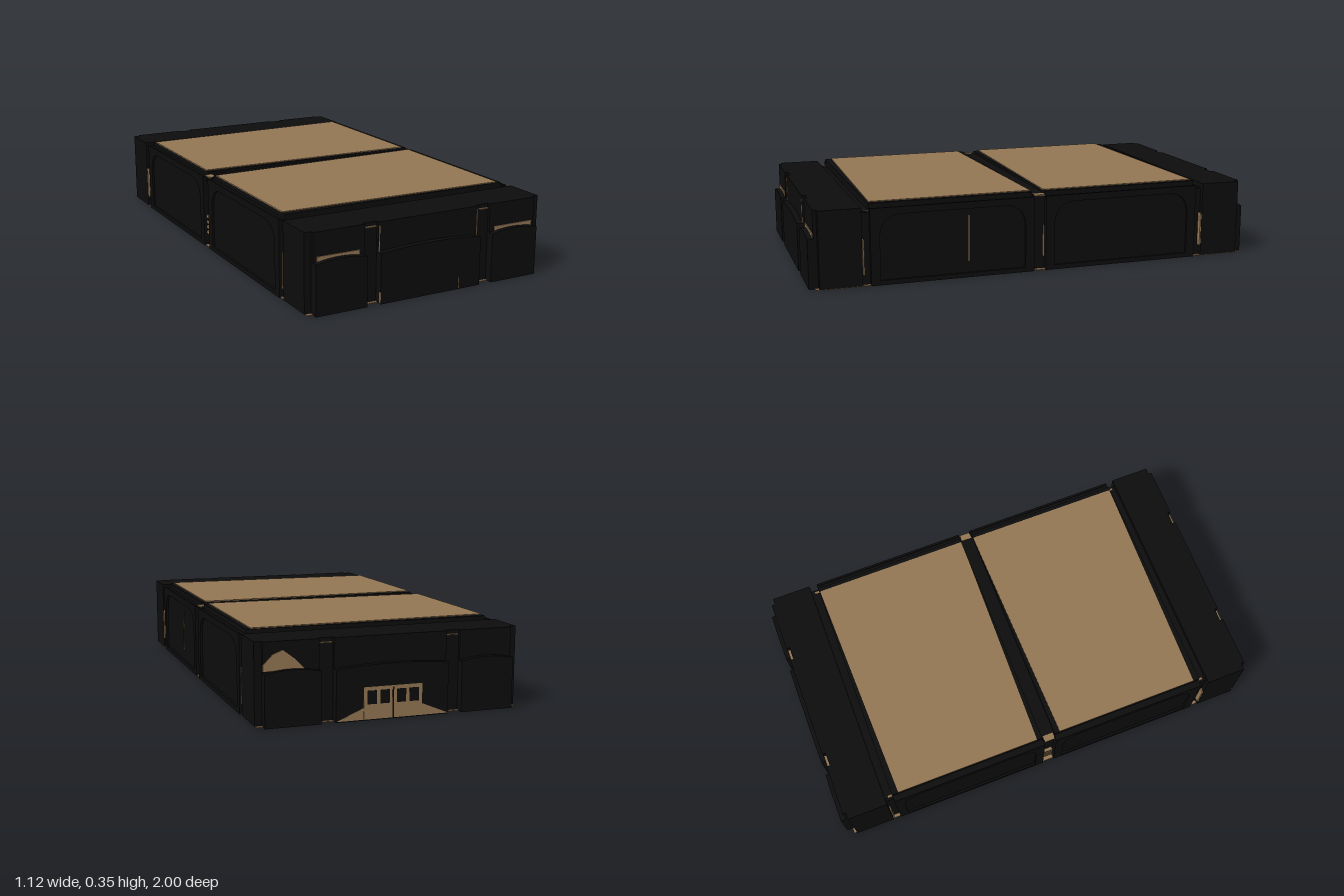
import * as THREE from 'three';

export function createModel() {
  const model = new THREE.Group();
  const black = new THREE.MeshStandardMaterial({ color: 0x0c0c0c });
  const tan = new THREE.MeshStandardMaterial({ color: 0x927654 });
  black.name = 'black wall';
  tan.name = 'tan trim';

  function add(name, geometry, material, parent = model) {
    const mesh = new THREE.Mesh(geometry, material);
    mesh.name = name;
    parent.add(mesh);
    return mesh;
  }
  // Box given by its minimum and maximum on each axis
  function box(name, x0, x1, y0, y1, z0, z1, material = black, parent = model) {
    const mesh = add(name, new THREE.BoxGeometry(x1 - x0, y1 - y0, z1 - z0), material, parent);
    mesh.position.set((x0 + x1) / 2, (y0 + y1) / 2, (z0 + z1) / 2);
    return mesh;
  }
  const polygon = pts => new THREE.Shape(pts.map(p => new THREE.Vector2(...p)));
  const extrude = (shape, depth) =>
    new THREE.ExtrudeGeometry(shape, { depth, bevelEnabled: false, curveSegments: 10 });

  // Core block and floor
  box('core', -0.53, 0.53, 0.004, 0.315, -0.96, 0.96);
  box('floor', -0.555, 0.555, 0, 0.004, -0.975, 0.975, tan);
  box('middleRidge', -0.54, 0.54, 0.3, 0.335, -0.03, 0.03);

  // Two raised roofs with tapering tan decks
  for (const s of [1, -1]) {
    box('roofSlab', -0.53, 0.53, 0.3, 0.346, s > 0 ? 0.03 : -0.745, s > 0 ? 0.745 : -0.03);
    const deck = polygon([[-0.53, -0.055 * s], [0.51, -0.03 * s], [0.51, -0.74 * s], [-0.53, -0.715 * s]]);
    const mesh = add('roofDeck', extrude(deck, 0.004), tan);
    mesh.rotation.x = -Math.PI / 2;
    mesh.position.y = 0.346;
  }

  // End blocks and their lower plinths
  function endFacade(name) {
    const end = new THREE.Group();
    end.name = name;
    box('endBlock', -0.56, 0.56, 0.004, 0.335, 0.78, 0.96, black, end);
    for (const [x0, x1] of [[-0.53, -0.30], [-0.24, 0.24], [0.30, 0.53]]) {
      box('upperWall', x0, x1, 0.004, 0.335, 0.95, 0.975, black, end);
      const plinth = new THREE.Shape();
      plinth.moveTo(x0, 0);
      plinth.lineTo(x1, 0);
      plinth.lineTo(x1, 0.212);
      plinth.quadraticCurveTo((x0 + x1) / 2, 0.238, x0, 0.212);
      const mesh = add('plinth', extrude(plinth, 0.025), black, end);
      mesh.position.z = 0.975;
    }
    for (const x of [-0.27, 0.27]) {
      box('recess', x - 0.03, x + 0.03, 0.004, 0.315, 0.95, 0.963, black, end);
      box('recessSill', x - 0.025, x + 0.025, 0.315, 0.319, 0.96, 0.972, tan, end);
    }
    model.add(end);
    return end;
  }
  const front = endFacade('frontFacade');
  const back = endFacade('backFacade');
  back.rotation.y = Math.PI;

  // Front lintels and narrow tan strips
  for (const s of [1, -1]) {
    box('lintel', s * 0.42 - 0.095, s * 0.42 + 0.095, 0.205, 0.236, 0.974, 0.979, tan, front);
    box('frontStrip', s * 0.235 - 0.002, s * 0.235 + 0.002, 0.21, 0.32, 0.974, 0.978, tan, front);
  }
  box('footStrip', -0.242, -0.239, 0.005, 0.05, 0.99, 1, tan, front);
  box('footStrip', 0.134, 0.136, 0.005, 0.05, 0.998, 1.001, tan, front);

  // Back gable and double door, in the turned frame of the back facade
  const gable = polygon([[-0.53, 0.22], [-0.36, 0.22], [-0.40, 0.262], [-0.45, 0.3], [-0.49, 0.285], [-0.53, 0.245]]);
  add('gable', extrude(gable, 0.004), tan, back).position.z = 0.975;
  const apron = polygon([[-0.24, 0.004], [0.24, 0.004], [0.13, 0.05], [-0.13, 0.05]]);
  add('doorApron', extrude(apron, 0.002), tan, back).position.z = 0.999;
  box('door', -0.125, 0.125, 0.004, 0.135, 0.998, 1.002, tan, back);
  for (const x of [-0.09, -0.035, 0.035, 0.09]) {
    box('doorPane', x - 0.02, x + 0.02, 0.065, 0.12, 1, 1.003, black, back);
  }
  box('doorGap', -0.003, 0.003, 0.004, 0.13, 1, 1.003, black, back);

  // Side walls: an arched frame on each bay, recesses between the bays
  for (const side of [1, -1]) {
    const wall = new THREE.Group();
    wall.name = side > 0 ? 'leftWall' : 'rightWall';
    const panel = (name, z0, z1, y0, y1, out, material = black) =>
      box(name, side > 0 ? 0.52 : -out, side > 0 ? out : -0.52, y0, y1, z0, z1, material, wall);
    for (const s of [1, -1]) {
      const [z0, z1] = s > 0 ? [0.027, 0.745] : [-0.745, -0.027];
      panel('bay', z0, z1, 0.004, 0.325, 0.55);
      const frame = polygon([[z0, 0], [z1, 0], [z1, 0.33], [z0, 0.33]]);
      const hole = new THREE.Path();
      hole.moveTo(z0 + 0.04, 0.02);
      hole.lineTo(z0 + 0.04, 0.2);
      hole.quadraticCurveTo(z0 + 0.04, 0.3, z0 + 0.14, 0.3);
      hole.lineTo(z1 - 0.14, 0.3);
      hole.quadraticCurveTo(z1 - 0.04, 0.3, z1 - 0.04, 0.2);
      hole.lineTo(z1 - 0.04, 0.02);
      frame.holes.push(hole);
      const mesh = add('archFrame', extrude(frame, 0.01), black, wall);
      mesh.rotation.y = -Math.PI / 2;
      mesh.position.x = side > 0 ? 0.56 : -0.55;
      // Corner recess beside the end block
      panel('cornerRecess', s * 0.7625 - 0.0175, s * 0.7625 + 0.0175, 0.004, 0.312, 0.54);
      panel('cornerSill', s * 0.755 - 0.01, s * 0.755 + 0.01, 0.312, 0.317, 0.53, tan);
      panel('cornerStrip', s * 0.775 - 0.003, s * 0.775 + 0.003, 0.05, 0.2, 0.561, tan);
    }
    panel('middleRecess', -0.027, 0.027, 0.004, 0.33, 0.535);
    panel('middleSill', -0.024, 0.024, 0.33, 0.336, 0.55, tan);
    if (side > 0) {
      panel('middleStrip', -0.023, -0.02, 0.06, 0.2, 0.55, tan);
      panel('bayStrip', 0.318, 0.322, 0.07, 0.27, 0.552, tan);
    } else {
      for (let i = 0; i < 4; i++) panel('rung', -0.02, 0.02, 0.06 + i * 0.025, 0.073 + i * 0.025, 0.55, tan);
    }
    model.add(wall);
  }
  return model;
}
